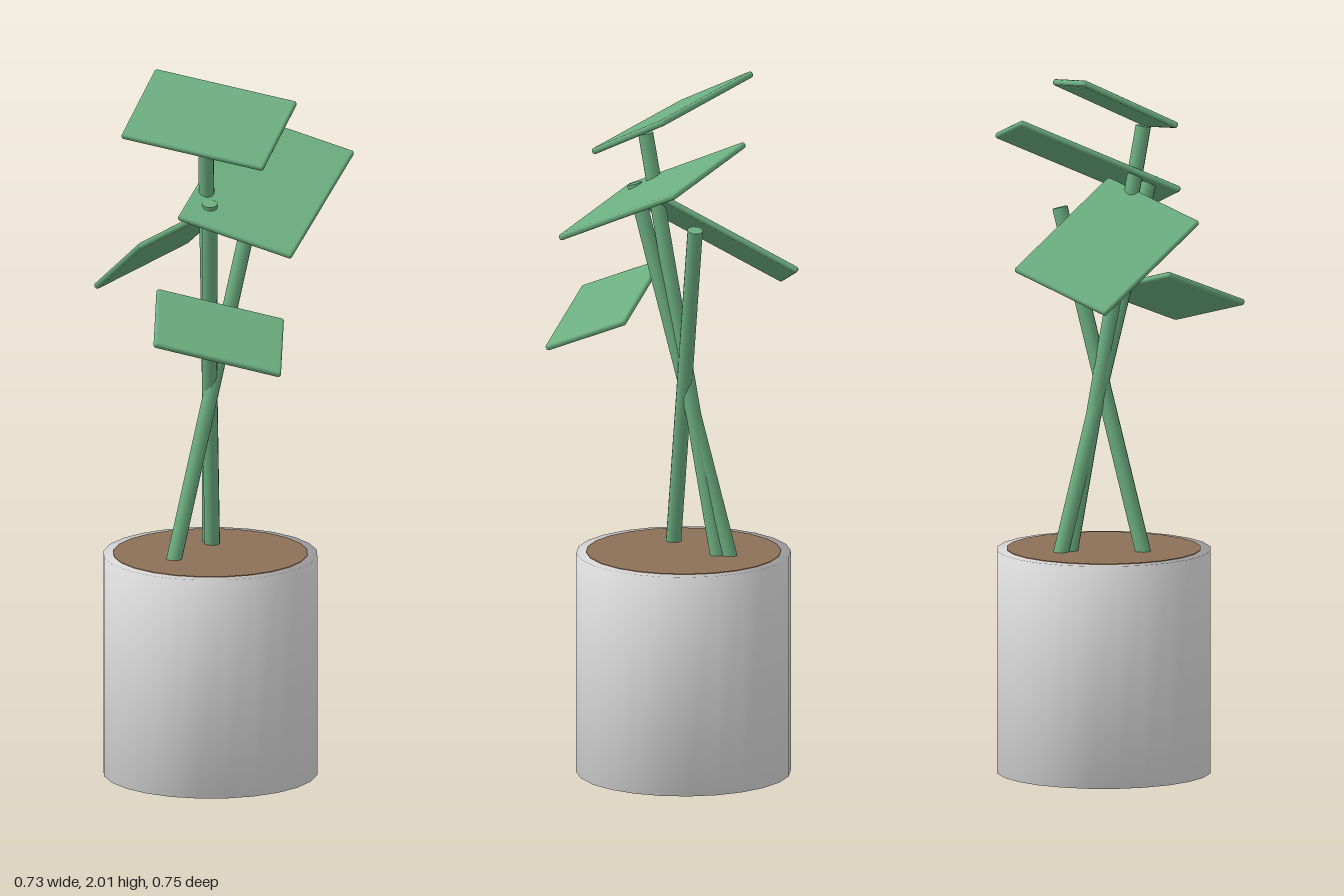
import * as THREE from 'three';
import { mergeVertices } from 'three/addons/utils/BufferGeometryUtils.js';
import { RoundedBoxGeometry } from 'three/addons/geometries/RoundedBoxGeometry.js';

const V = (a) => new THREE.Vector3(...a);

function makeMaterial(name, color) {
  const m = new THREE.MeshStandardMaterial({ color });
  m.name = name;
  return m;
}

// Weld a geometry so that shading flows softly over its rims
function soften(geometry) {
  geometry.deleteAttribute('normal');
  geometry.deleteAttribute('uv');
  const welded = mergeVertices(geometry, 1e-4);
  welded.computeVertexNormals();
  return welded;
}

export function createModel() {
  const model = new THREE.Group();
  model.name = 'pottedPlant';
  const potGrey = makeMaterial('potGrey', 0xe0e0e0);
  const soilBrown = makeMaterial('soilBrown', 0x8c7058);
  const leafGreen = makeMaterial('leafGreen', 0x6cae80);

  const add = (name, geometry, material) => {
    const mesh = new THREE.Mesh(geometry, material);
    mesh.name = name;
    model.add(mesh);
    return mesh;
  };

  // Pot with a thin disc of soil on top
  const potHeight = 0.635, potRadius = 0.303;
  add('pot', soften(new THREE.CylinderGeometry(potRadius, potRadius, potHeight, 24)), potGrey)
    .position.set(-0.025, potHeight / 2, 0.02);
  add('soil', new THREE.CylinderGeometry(0.275, 0.275, 0.004, 24), soilBrown)
    .position.set(-0.025, potHeight + 0.001, 0.02);

  // Straight stems, each from its foot in the soil to its tip
  const stems = [
    [[-0.035, 0.62, 0.148], [-0.015, 1.6, -0.118]],
    [[-0.105, 0.62, -0.052], [0.06, 1.835, 0.105]],
    [[-0.137, 0.62, -0.068], [0.09, 1.69, 0.115]],
  ];
  stems.forEach(([foot, tip], i) => {
    const a = V(foot), b = V(tip);
    const axis = b.clone().sub(a);
    const stem = add(`stem${i + 1}`, new THREE.CylinderGeometry(0.022, 0.022, axis.length(), 12), leafGreen);
    stem.position.copy(a).add(b).multiplyScalar(0.5);
    stem.quaternion.setFromUnitVectors(new THREE.Vector3(0, 1, 0), axis.normalize());
  });

  // Tilted slab leaves: centre, long or short edge, and the other edge
  const leaves = [
    { name: 'topLeaf', centre: [0, 1.904, 0.045], u: [0.345, -0.065, -0.235], v: [0.135, -0.13, 0.235] },
    { name: 'backLeaf', centre: [0.1, 1.713, -0.08], u: [0.275, -0.09, -0.19], v: [0.215, -0.2, 0.4] },
    { name: 'rightLeaf', centre: [-0.155, 1.522, 0.083], u: [0.37, 0.215, 0.135], v: [-0.05, -0.1, 0.3] },
    { name: 'leftLeaf', centre: [0.17, 1.335, 0.148], u: [0.184, -0.1, 0.16], v: [-0.205, 0.095, 0.295] },
  ];
  for (const { name, centre, u, v } of leaves) {
    const x = V(u), z = V(v);
    const leaf = add(name, new RoundedBoxGeometry(x.length(), 0.018, z.length(), 2, 0.008), leafGreen);
    x.normalize();
    const y = z.clone().cross(x).normalize();
    z.crossVectors(x, y);
    leaf.quaternion.setFromRotationMatrix(new THREE.Matrix4().makeBasis(x, y, z));
    leaf.position.set(...centre);
  }
  return model;
}
